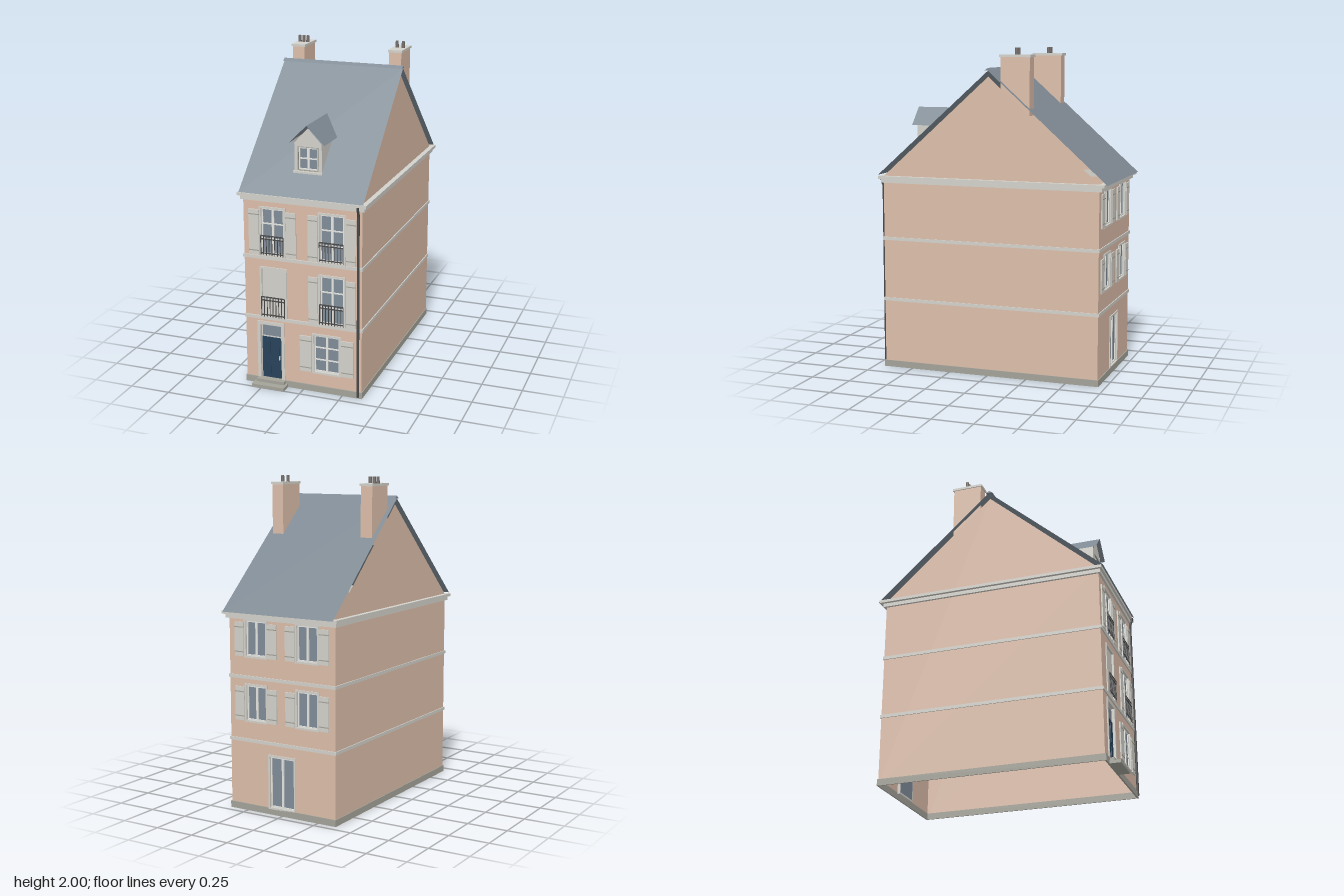
import * as THREE from 'three';

const flat = (name, color) => new THREE.MeshStandardMaterial({ name, color, side: THREE.DoubleSide });
const M = {
  wall: flat('peach render', 0xdcbda9),
  trim: flat('pale stone', 0xd3d1ca),
  stone: flat('grey stone', 0xa4a399),
  slate: flat('slate', 0x7f8a94),
  glass: flat('glass', 0x7f8c98),
  white: flat('white paint', 0xe4e4e0),
  door: flat('blue paint', 0x26415a),
  iron: flat('dark iron', 0x4a4a4a),
  pot: flat('chimney pot', 0x746c68),
};

function add(parent, name, geo, mat) {
  const m = new THREE.Mesh(geo, mat);
  m.name = name;
  parent.add(m);
  return m;
}

// box given by its ranges on the three axes
function box(parent, name, mat, x0, x1, y0, y1, z0, z1) {
  const m = add(parent, name, new THREE.BoxGeometry(x1 - x0, y1 - y0, z1 - z0), mat);
  m.position.set((x0 + x1) / 2, (y0 + y1) / 2, (z0 + z1) / 2);
  return m;
}

const poly = (pts) => new THREE.Shape(pts.map(([x, y]) => new THREE.Vector2(x, y)));
const rect = (x0, x1, y0, y1) => [[x0, y0], [x1, y0], [x1, y1], [x0, y1]];
const hole = (s, x0, x1, y0, y1) => s.holes.push(new THREE.Path(rect(x0, x1, y0, y1).reverse().map(p => new THREE.Vector2(...p))));

// upright rectangular frame around an opening
function frame(parent, name, mat, [x0, x1, y0, y1], t, z0, z1) {
  const s = poly(rect(x0 - t, x1 + t, y0 - t, y1 + t));
  hole(s, x0, x1, y0, y1);
  add(parent, name, new THREE.ExtrudeGeometry(s, { depth: z1 - z0, bevelEnabled: false }), mat).position.z = z0;
}

// horizontal band that runs round the hollow house
function band(parent, name, mat, x, zBack, zFront, y0, y1) {
  const s = poly(rect(-x, x, -zFront, -zBack));
  hole(s, -0.368, 0.368, -0.678, 0.698);
  const g = new THREE.ExtrudeGeometry(s, { depth: y1 - y0, bevelEnabled: false }).rotateX(-Math.PI / 2);
  add(parent, name, g, mat).position.y = y0;
}

// flat sheet through four corners
function sheet(parent, name, mat, pts) {
  const g = new THREE.BufferGeometry();
  g.setAttribute('position', new THREE.Float32BufferAttribute(pts.flat(), 3));
  g.setIndex([0, 1, 2, 0, 2, 3]);
  g.computeVertexNormals();
  add(parent, name, g, mat);
}

// glazed window with a centre post and cross bars
function glazing(parent, [x0, x1, y0, y1], rows) {
  const cx = (x0 + x1) / 2, b = 0.004;
  box(parent, 'pane', M.glass, x0, x1, y0, y1, -0.016, -0.012);
  frame(parent, 'sash', M.white, [x0 + 0.008, x1 - 0.008, y0 + 0.008, y1 - 0.008], 0.008, -0.012, -0.006);
  box(parent, 'centrePost', M.white, cx - 0.007, cx + 0.007, y0, y1, -0.012, -0.005);
  for (let i = 1; i < rows; i++) {
    const y = y0 + (y1 - y0) * i / rows;
    box(parent, 'glazingBar', M.white, x0, x1, y - b, y + b, -0.012, -0.007);
  }
}

function shutters(parent, [x0, x1, y0, y1], w) {
  for (const a of [x0 - 0.014 - w, x1 + 0.014]) {
    box(parent, 'shutter', M.trim, a, a + w, y0 - 0.005, y1 - 0.01, 0.001, 0.009);
    for (const y of [y0 + 0.022, y1 - 0.04])
      box(parent, 'shutterStrap', M.stone, a, a + w, y - 0.003, y + 0.003, 0.009, 0.011);
  }
}

function railing(parent, [x0, x1, y0], h) {
  for (const y of [y0 + 0.012, y0 + h - 0.02, y0 + h])
    box(parent, 'railBar', M.iron, x0, x1, y - 0.003, y + 0.003, 0.012, 0.018);
  for (let i = 0; i <= 8; i++) {
    const x = x0 + (x1 - x0) * i / 8;
    box(parent, 'railUpright', M.iron, x - 0.002, x + 0.002, y0, y0 + h, 0.013, 0.017);
  }
}

// wall with openings; each opening is filled according to its options
function facade(name, openings) {
  const g = new THREE.Group();
  g.name = name;
  const s = poly(rect(-0.37, 0.37, 0, 1.2));
  for (const o of openings) hole(s, ...o.r);
  add(g, 'wallFace', new THREE.ShapeGeometry(s), M.wall);
  for (const o of openings) {
    const u = new THREE.Group();
    u.name = o.name;
    g.add(u);
    frame(u, 'surround', M.trim, o.r, o.edge ?? 0.012, -0.016, 0.006);
    if (o.rows) glazing(u, o.r, o.rows);
    if (o.shutter) shutters(u, o.r, o.shutter);
    if (o.rail) railing(u, o.r, o.rail);
    if (o.blind) box(u, 'blindPanel', M.trim, ...o.r, -0.014, -0.006);
    if (o.door) {
      const [x0, x1, y0, y1] = o.r;
      box(u, 'doorFrame', M.trim, x0, x1, y0, y1, -0.018, -0.014);
      box(u, 'transomGlass', M.glass, x0 + 0.008, x1 - 0.008, 0.315, y1 - 0.01, -0.014, -0.011);
      box(u, 'doorLeaf', M.door, x0 + 0.006, x1 - 0.006, y0, 0.305, -0.022, -0.008);
      for (const [a, b] of [[0.06, 0.14], [0.165, 0.285]])
        for (const x of [x0 + 0.02, x0 + 0.075])
          box(u, 'doorPanel', M.door, x, x + 0.04, a, b, -0.008, -0.004);
      box(u, 'doorHandle', M.trim, x1 - 0.018, x1 - 0.013, 0.165, 0.19, -0.008, 0);
    }
  }
  return g;
}

const ROOF = { z: -0.015, y: 1.865, k: 0.89 };
const roofY = (z) => ROOF.y - ROOF.k * Math.abs(z - ROOF.z);

function dormer() {
  const g = new THREE.Group();
  g.name = 'dormer';
  const w = 0.085, zf = 0.575, win = [-0.06, 0.06, 1.35, 1.485];
  const s = poly([[-w, 1.335], [w, 1.335], [w, 1.51], [0, 1.6], [-w, 1.51]]);
  hole(s, ...win);
  const front = new THREE.Group();
  front.name = 'dormerFront';
  front.position.z = zf;
  g.add(front);
  add(front, 'dormerFace', new THREE.ShapeGeometry(s), M.trim);
  frame(front, 'dormerSurround', M.stone, win, 0.004, -0.016, 0.003);
  glazing(front, win, 2);
  box(front, 'dormerSill', M.trim, -0.09, 0.09, 1.33, 1.342, -0.01, 0.012);
  for (const d of [-1, 1]) {
    const cheek = new THREE.ShapeGeometry(poly([[zf, roofY(zf)], [zf, 1.53], [0.365, 1.53]])).rotateY(-Math.PI / 2);
    add(g, 'dormerCheek', cheek, M.trim).position.x = d * w;
    const q = [[0, 1.62, 0.6], [d * 0.11, 1.51, 0.6], [d * 0.11, 1.51, 0.385], [0, 1.62, 0.26]];
    sheet(g, 'dormerRoof', M.slate, d > 0 ? q : q.reverse());
  }
  return g;
}

function chimney(x0, x1, pots) {
  const g = new THREE.Group();
  g.name = 'chimney';
  box(g, 'chimneyStack', M.wall, x0 + 0.006, x1 - 0.006, 1.6, 1.945, -0.265, -0.082);
  box(g, 'chimneyCap', M.trim, x0, x1, 1.945, 1.96, -0.272, -0.076);
  for (const x of pots)
    add(g, 'chimneyPot', new THREE.CylinderGeometry(0.009, 0.011, 0.04, 12), M.pot).position.set(x, 1.98, -0.178);
  return g;
}

export function createModel() {
  const house = new THREE.Group();
  house.name = 'townHouse';

  // front and back walls
  const front = facade('frontWall', [
    { name: 'frontDoor', r: [-0.275, -0.14, 0.04, 0.39], edge: 0.02, door: true },
    { name: 'groundWindow', r: [0.07, 0.23, 0.13, 0.365], rows: 3, shutter: 0.075 },
    { name: 'blindWindow', r: [-0.26, -0.112, 0.448, 0.75], blind: true, rail: 0.125 },
    { name: 'middleWindow', r: [0.112, 0.26, 0.448, 0.745], rows: 3, shutter: 0.06, rail: 0.125 },
    { name: 'upperWindow', r: [-0.257, -0.115, 0.84, 1.125], rows: 3, shutter: 0.065, rail: 0.12 },
    { name: 'upperWindow', r: [0.112, 0.26, 0.84, 1.125], rows: 3, shutter: 0.06, rail: 0.12 },
  ]);
  front.position.z = 0.68;
  const backWindows = [0.56, 0.95].flatMap(y => [-0.18, 0.18].map(x => (
    { name: 'backWindow', r: [x - 0.07, x + 0.07, y, y + 0.21], rows: 1, shutter: 0.065 })));
  const back = facade('backWall', [
    { name: 'backDoor', r: [-0.085, 0.085, 0.045, 0.355], rows: 1 }, ...backWindows]);
  back.rotation.y = Math.PI;
  back.position.z = -0.7;
  house.add(front, back);

  // side walls with gables
  for (const d of [-1, 1]) {
    const s = poly([[-0.7, 0], [0.68, 0], [0.68, 1.21], [-0.012, 1.83], [-0.7, 1.21]]);
    add(house, 'gableWall', new THREE.ShapeGeometry(s).rotateY(-Math.PI / 2), M.wall).position.x = d * 0.37;
  }

  // plinth, string courses and cornice
  band(house, 'plinth', M.stone, 0.375, -0.706, 0.688, 0, 0.04);
  band(house, 'stringCourse', M.trim, 0.376, -0.706, 0.688, 0.425, 0.445);
  band(house, 'stringCourse', M.trim, 0.376, -0.706, 0.688, 0.81, 0.83);
  band(house, 'corniceLower', M.trim, 0.385, -0.718, 0.692, 1.17, 1.193);
  band(house, 'corniceUpper', M.trim, 0.4, -0.738, 0.704, 1.195, 1.213);

  // steps
  box(house, 'lowerStep', M.stone, -0.31, -0.1, 0, 0.02, 0.68, 0.755);
  box(house, 'upperStep', M.stone, -0.295, -0.115, 0.02, 0.04, 0.67, 0.715);

  // roof slopes and ridge cap
  const rx = 0.385;
  for (const [z, d] of [[0.712, 1], [-0.752, -1]])
    sheet(house, 'roofSlope', M.slate, [
      [-d * rx, roofY(z), z], [d * rx, roofY(z), z], [d * rx, ROOF.y, ROOF.z], [-d * rx, ROOF.y, ROOF.z]]);
  const cap = new THREE.ExtrudeGeometry(poly([[-0.022, 1.866], [0.022, 1.866], [0, 1.882]]), { depth: 2 * rx, bevelEnabled: false });
  add(house, 'ridgeCap', cap.rotateY(Math.PI / 2), M.slate).position.set(-rx, 0, ROOF.z);

  house.add(dormer(), chimney(-0.363, -0.273, [-0.346, -0.32, -0.293]), chimney(0.268, 0.358, [0.295, 0.334]));

  // drainpipe
  const path = new THREE.CatmullRomCurve3([[1.2, 0.704], [1.18, 0.702], [1.15, 0.69], [1.1, 0.69], [0.6, 0.69], [0.01, 0.69]]
    .map(([y, z]) => new THREE.Vector3(0.35, y, z)));
  add(house, 'drainpipe', new THREE.TubeGeometry(path, 48, 0.008, 8), M.iron);

  return house;
}
